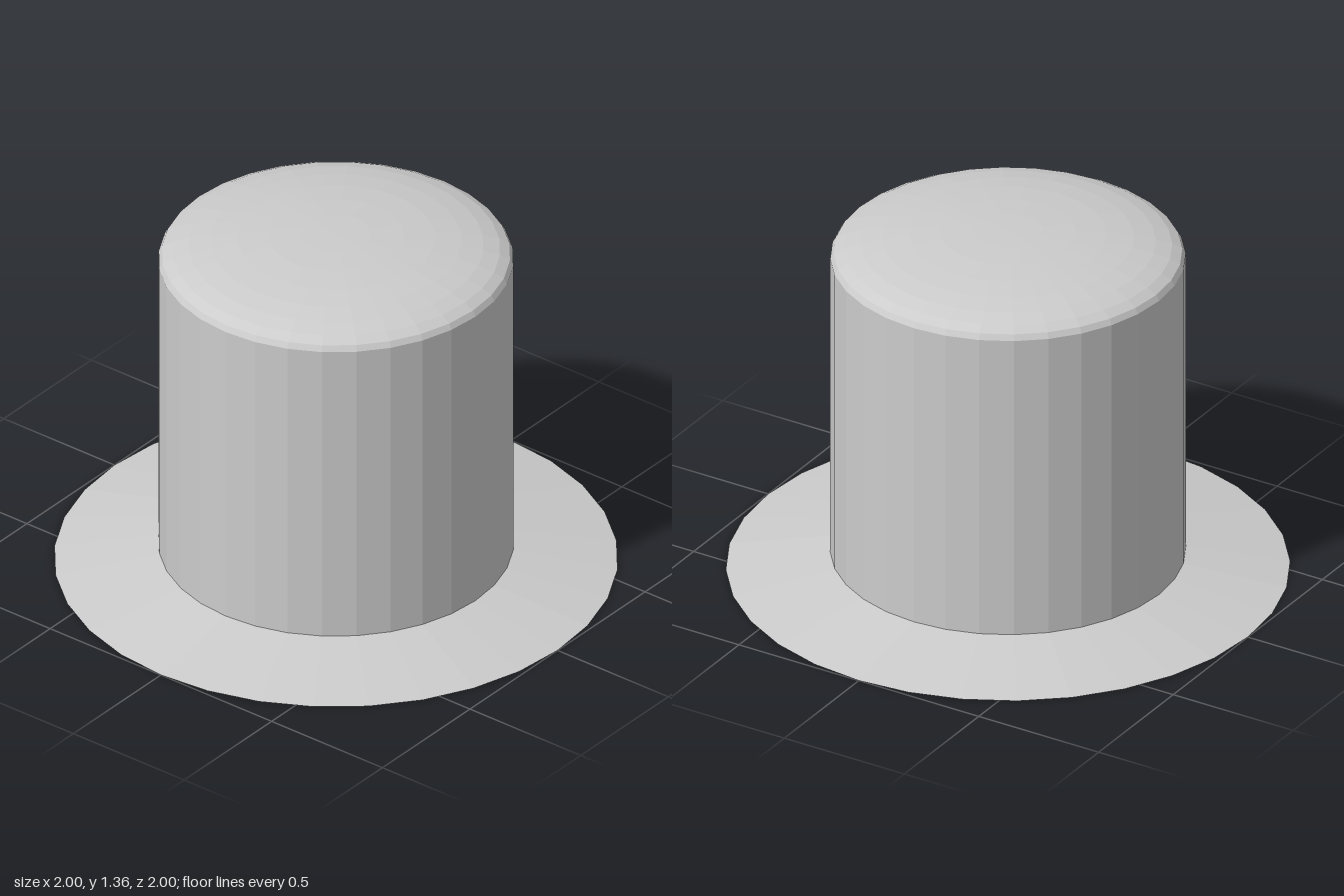
import * as THREE from 'three';

const SIDES = 32;
const CROWN_R = 0.63, INNER_R = 0.513;
const BRIM_H = 0.065, WALL_TOP = 1.25, DOME_H = 0.105;

export function createModel() {
  const hat = new THREE.Group();
  hat.name = 'topHat';
  const material = new THREE.MeshStandardMaterial({ color: 0xcccccc, flatShading: true });

  // Revolves a profile of [radius, height] pairs around the y axis
  function addRevolved(name, profile) {
    const points = profile.map(([r, y]) => new THREE.Vector2(r, y));
    const mesh = new THREE.Mesh(new THREE.LatheGeometry(points, SIDES), material);
    mesh.name = name;
    hat.add(mesh);
  }

  // Brim: flat underside, gently sloping top
  addRevolved('brim', [[INNER_R, 0], [1, 0], [CROWN_R, BRIM_H]]);

  // Straight outer wall of the crown
  addRevolved('crownWall', [[CROWN_R, BRIM_H], [CROWN_R, WALL_TOP]]);

  // Flattened half-sphere on top
  const dome = [];
  for (let i = 0; i <= 8; i++) {
    const a = (i / 8) * Math.PI / 2;
    dome.push([i === 8 ? 0 : CROWN_R * Math.cos(a), WALL_TOP + DOME_H * Math.sin(a)]);
  }
  addRevolved('crownDome', dome);

  // Hollow inside: ceiling and inner wall
  addRevolved('lining', [[0, WALL_TOP], [INNER_R, WALL_TOP], [INNER_R, 0]]);

  return hat;
}
